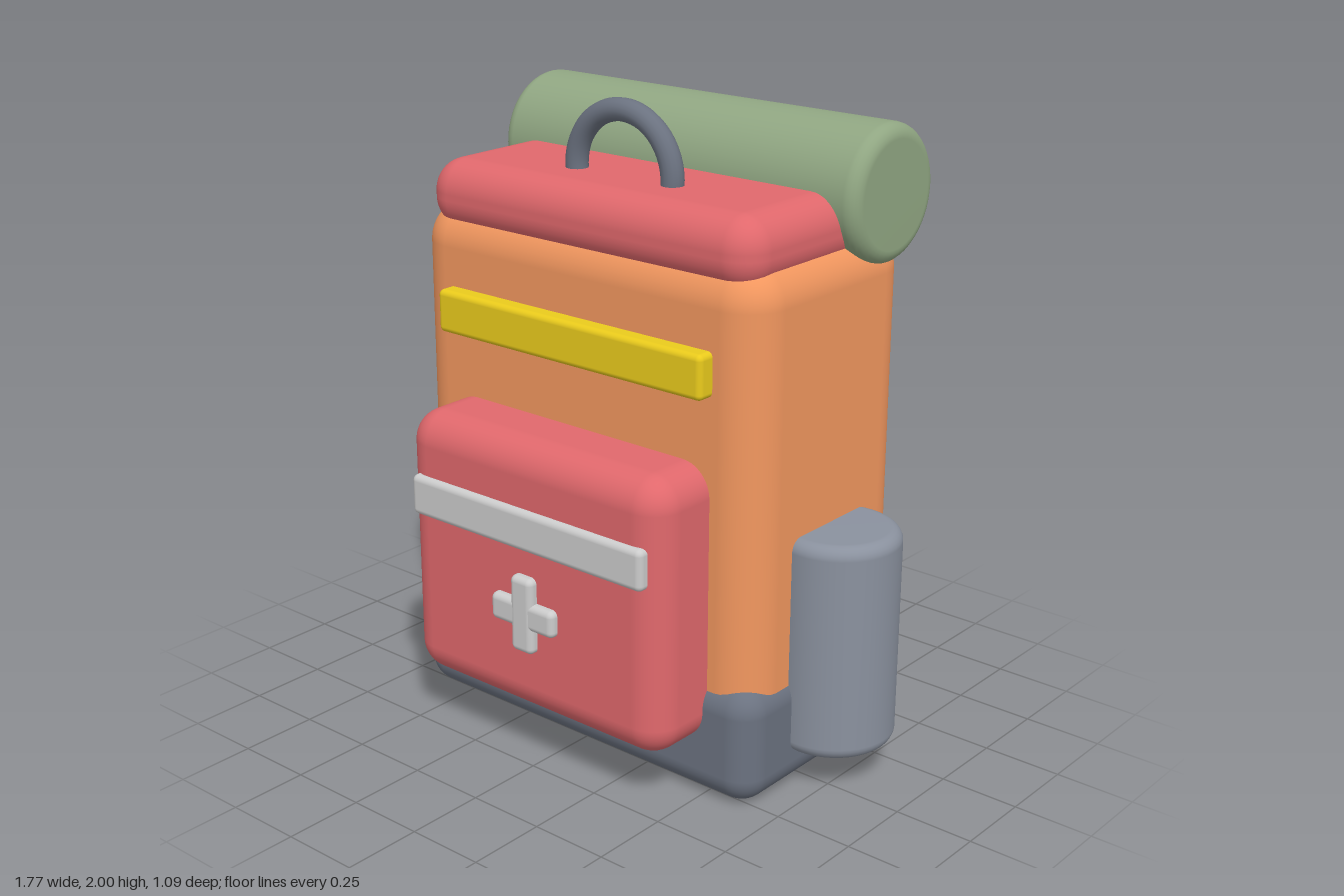
import * as THREE from 'three';
import { RoundedBoxGeometry } from 'three/addons/geometries/RoundedBoxGeometry.js';

const material = (color) => new THREE.MeshStandardMaterial({ color });

export function createModel() {
  const model = new THREE.Group();
  model.name = 'backpack';

  const orange = material(0xf2975f);
  const red = material(0xe0686c);
  const darkGrey = material(0x6b7280);
  const paleGrey = material(0x8a919e);
  const green = material(0x90a682);
  const yellow = material(0xeacb1c);
  const silver = material(0xcccccc);

  const add = (name, geometry, mat, parent = model) => {
    const mesh = new THREE.Mesh(geometry, mat);
    mesh.name = name;
    parent.add(mesh);
    return mesh;
  };

  // Rounded box given by its extents on each axis
  const box = (name, [x0, x1], [y0, y1], [z0, z1], radius, mat, parent) => {
    const mesh = add(name, new RoundedBoxGeometry(x1 - x0, y1 - y0, z1 - z0, 6, radius), mat, parent);
    mesh.position.set((x0 + x1) / 2, (y0 + y1) / 2, (z0 + z1) / 2);
    return mesh;
  };

  // Upright cylinder with rounded rims, centred on its origin
  const roundedCylinder = (radius, height, bevel) => {
    const h = height / 2;
    const points = [new THREE.Vector2(0, -h)];
    for (const [cy, start] of [[-h + bevel, -Math.PI / 2], [h - bevel, 0]]) {
      for (let i = 0; i <= 6; i++) {
        const a = start + (i / 6) * (Math.PI / 2);
        points.push(new THREE.Vector2(radius - bevel + bevel * Math.cos(a), cy + bevel * Math.sin(a)));
      }
    }
    points.push(new THREE.Vector2(0, h));
    return new THREE.LatheGeometry(points, 48);
  };

  // Main bag, base and lid
  box('body', [-0.665, 0.665], [0.04, 1.64], [-0.46, 0.29], 0.13, orange);
  box('base', [-0.68, 0.68], [0, 0.38], [-0.48, 0.31], 0.09, darkGrey);
  box('lid', [-0.63, 0.63], [1.55, 1.77], [-0.45, 0.28], 0.1, red);

  // Front pocket with its strip and cross badge
  box('frontPocket', [-0.51, 0.51], [0.18, 1.05], [0.09, 0.515], 0.1, red);
  box('pocketStrip', [-0.46, 0.46], [0.725, 0.855], [0.475, 0.535], 0.02, silver);
  const badge = new THREE.Group();
  badge.name = 'crossBadge';
  model.add(badge);
  box('crossUpright', [-0.043, 0.043], [0.4, 0.645], [0.485, 0.545], 0.02, silver, badge);
  box('crossBar', [-0.125, 0.125], [0.478, 0.565], [0.485, 0.543], 0.02, silver, badge);

  // Strap across the front
  box('frontStrap', [-0.515, 0.515], [1.255, 1.39], [0.255, 0.345], 0.018, yellow);

  // Side pockets
  for (const [name, side] of [['leftPocket', 1], ['rightPocket', -1]]) {
    add(name, roundedCylinder(0.19, 0.685, 0.04), paleGrey).position.set(side * 0.695, 0.4625, -0.088);
  }

  // Bedroll lying across the top at the back
  const roll = add('bedroll', roundedCylinder(0.208, 1.37, 0.045), green);
  roll.rotation.z = Math.PI / 2;
  roll.position.set(0, 1.745, -0.335);

  // Carry handle, its ends sunk into the lid
  const sink = 0.15;
  const handle = add('handle', new THREE.TorusGeometry(0.185, 0.035, 16, 40, Math.PI + 2 * sink), darkGrey);
  handle.rotation.z = -sink;
  handle.position.set(0, 1.78, 0.068);

  return model;
}
